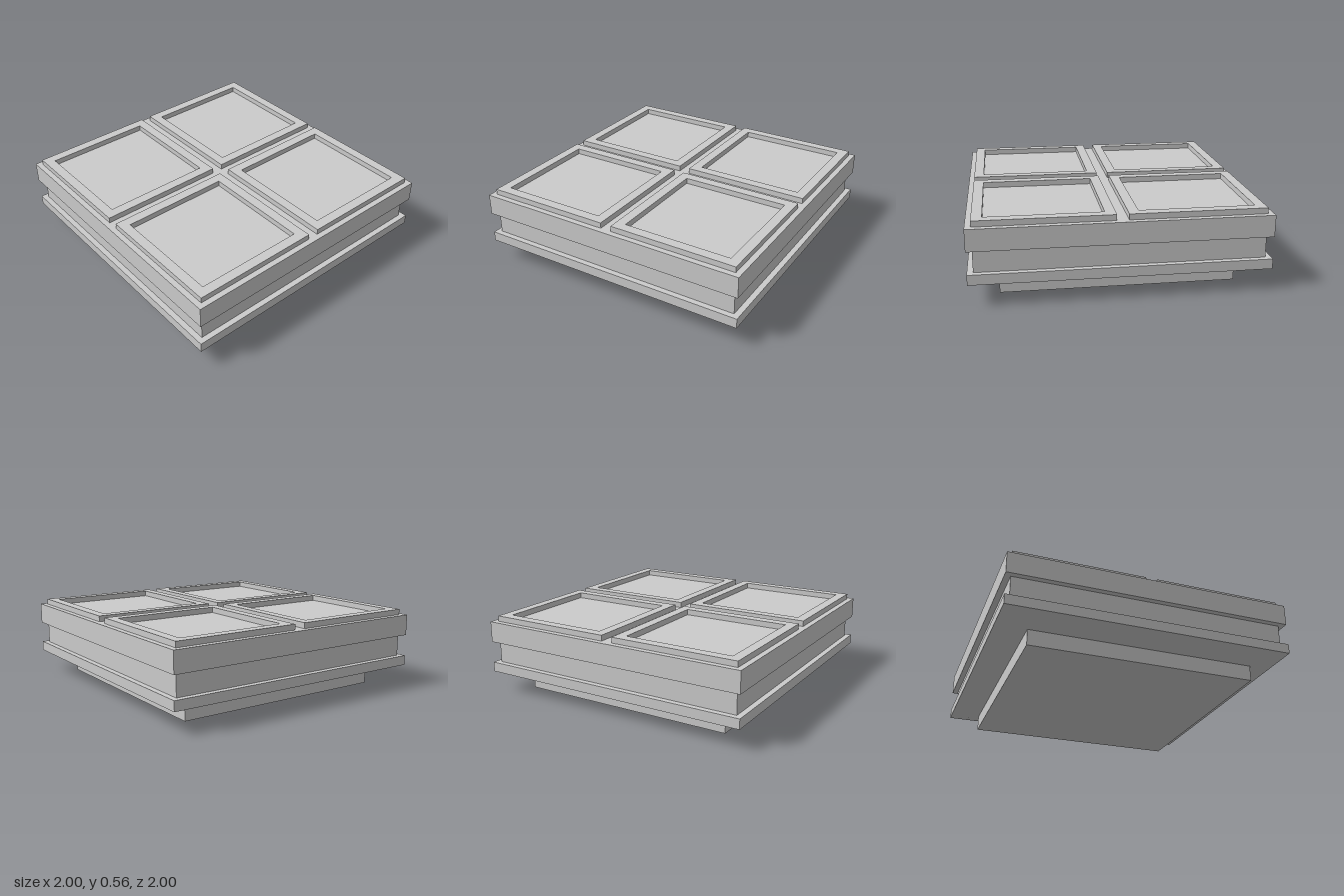
import * as THREE from 'three';

const material = new THREE.MeshStandardMaterial({ color: 0xcccccc, flatShading: true });

function add(parent, name, geometry, x = 0, y = 0, z = 0) {
  const mesh = new THREE.Mesh(geometry, material);
  mesh.name = name;
  mesh.position.set(x, y, z);
  parent.add(mesh);
  return mesh;
}

// Square slab of half width h between two heights
function slab(parent, name, h, y0, y1) {
  return add(parent, name, new THREE.BoxGeometry(2 * h, y1 - y0, 2 * h), 0, (y0 + y1) / 2, 0);
}

// Counter-clockwise square outline
function square(PathType, h) {
  return new PathType([[-h, -h], [h, -h], [h, h], [-h, h]].map(([x, y]) => new THREE.Vector2(x, y)));
}

export function createModel() {
  const model = new THREE.Group();
  model.name = 'tiledPlatform';

  // Foot and the flare up to the lower ledge
  slab(model, 'foot', 0.8, 0, 0.11);
  const flare = new THREE.CylinderGeometry(Math.SQRT2, 0.8 * Math.SQRT2, 0.04, 4, 1, true);
  flare.rotateY(Math.PI / 4);
  add(model, 'flare', flare, 0, 0.13, 0);

  // Ledge, recessed core and top slab
  slab(model, 'lowerLedge', 1, 0.15, 0.22);
  slab(model, 'core', 0.96, 0.22, 0.375);
  slab(model, 'topSlab', 1, 0.375, 0.525);

  // Four raised square frames with sunken panels
  const outline = square(THREE.Shape, 0.46);
  outline.holes.push(square(THREE.Path, 0.39));
  const frame = new THREE.ExtrudeGeometry(outline, { depth: 0.04, bevelEnabled: false });
  frame.rotateX(-Math.PI / 2);
  for (const x of [-0.5, 0.5]) {
    for (const z of [-0.5, 0.5]) add(model, 'tileFrame', frame, x, 0.525, z);
  }

  return model;
}
